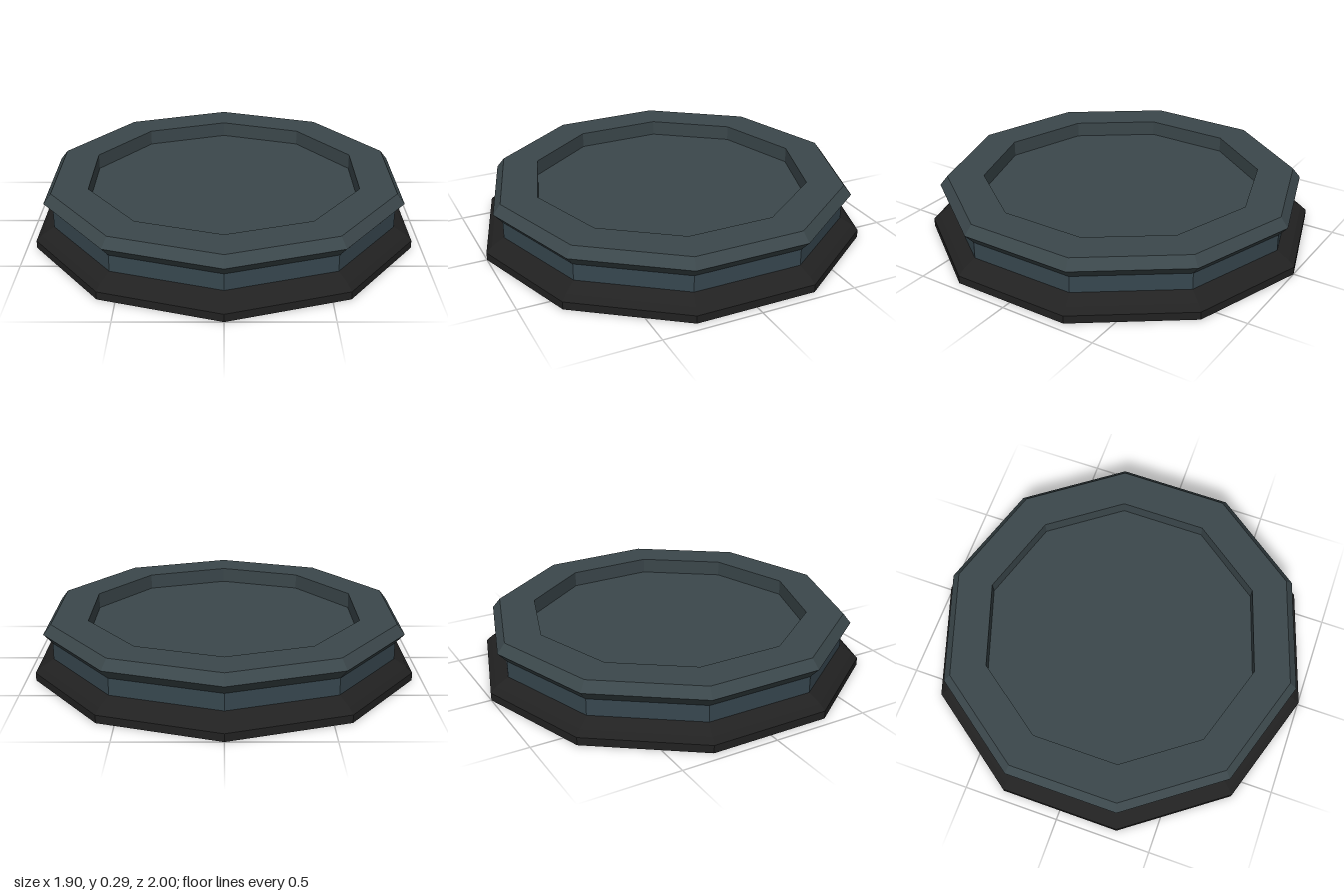
import * as THREE from 'three';

const SIDES = 10;

function mat(name, color) {
  const m = new THREE.MeshStandardMaterial({ color, flatShading: true });
  m.name = name;
  return m;
}

// Ten-sided turned part from [radius, height] pairs, listed bottom to top on the outside
function turned(name, profile, material) {
  const points = profile.map(([r, y]) => new THREE.Vector2(r, y));
  const mesh = new THREE.Mesh(new THREE.LatheGeometry(points, SIDES), material);
  mesh.name = name;
  return mesh;
}

export function createModel() {
  const charcoal = mat('charcoal', 0x212121);
  const slateBlue = mat('slate blue', 0x37474f);
  const slate = mat('slate', 0x3b474b);

  const group = new THREE.Group();
  group.name = 'pedestal';
  group.add(
    // Plinth with a closed underside and a rounded shoulder
    turned('plinth', [[0, 0], [1, 0], [1, 0.04], [0.97, 0.068], [0.905, 0.105]], charcoal),
    // Straight band above the plinth
    turned('neck', [[0.905, 0.105], [0.905, 0.19]], slateBlue),
    // Flared rim, flat top and recess wall
    turned('rim', [[0.905, 0.19], [0.95, 0.24], [0.91, 0.29], [0.72, 0.29], [0.72, 0.21]], slate),
    // Recessed floor
    turned('recessFloor', [[0.72, 0.21], [0, 0.21]], slate),
  );
  return group;
}
